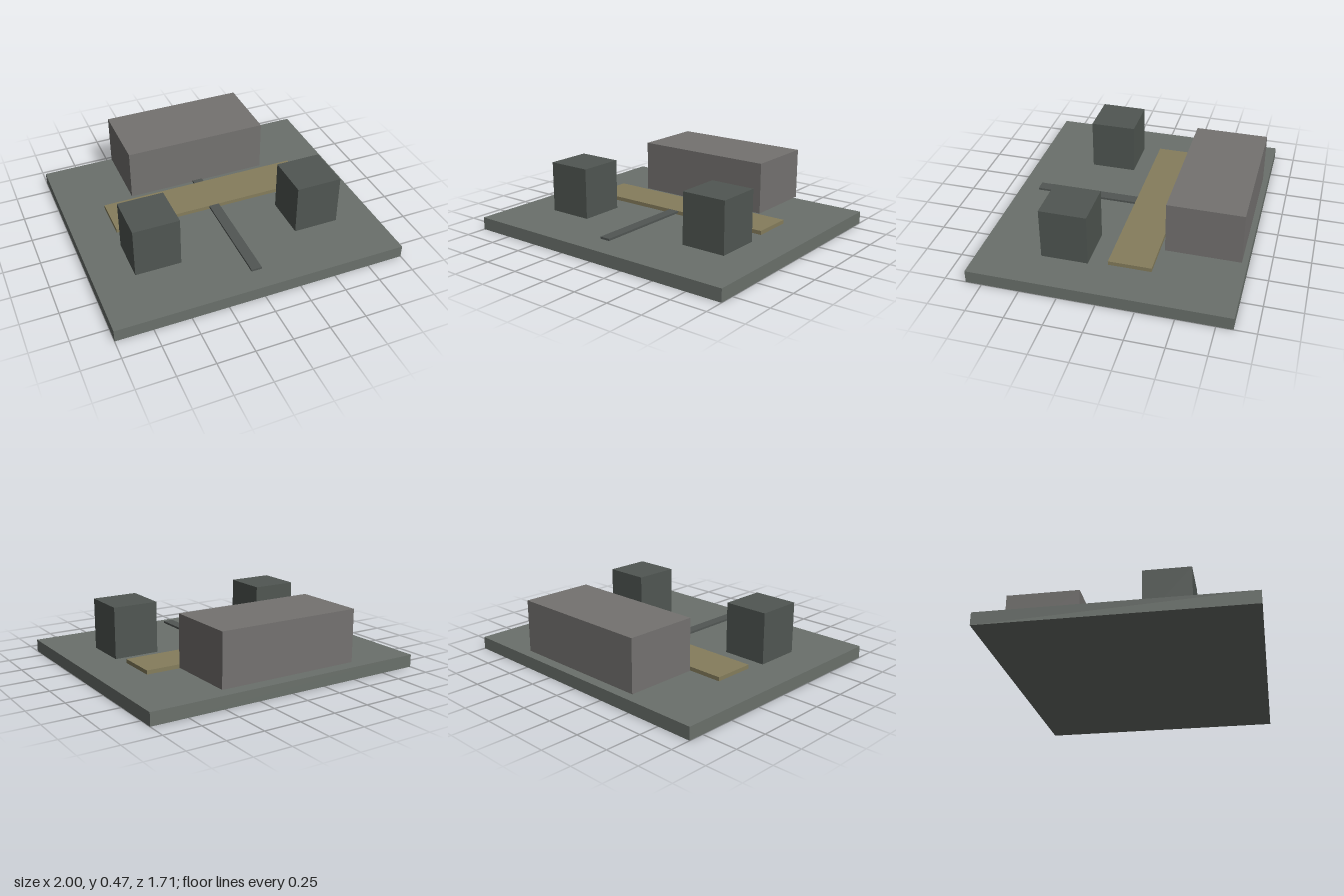
import * as THREE from 'three';

export function createModel() {
  const model = new THREE.Group();

  // Box given by its extents along each axis
  const addBox = (name, color, [x0, x1], [y0, y1], [z0, z1]) => {
    const mesh = new THREE.Mesh(
      new THREE.BoxGeometry(x1 - x0, y1 - y0, z1 - z0),
      new THREE.MeshStandardMaterial({ color })
    );
    mesh.position.set((x0 + x1) / 2, (y0 + y1) / 2, (z0 + z1) / 2);
    mesh.name = name;
    model.add(mesh);
  };

  // Ground slab
  addBox('base', 0x6a706b, [-1, 1], [0, 0.086], [-0.857, 0.857]);

  // Large block at the back, hovering just above the slab
  addBox('mainBlock', 0x747270, [-0.5, 0.5], [0.11, 0.466], [-0.822, -0.322]);

  // Wide cross plate and the thin strip running front to back through it
  addBox('crossPlate', 0x857d5c, [-0.714, 0.714], [0.092, 0.119], [-0.286, 0]);
  addBox('centreStrip', 0x515654, [-0.036, 0.036], [0.104, 0.1185], [-0.714, 0.714]);

  // Pair of towers mirrored about the centre
  for (const [name, side] of [['leftTower', 1], ['rightTower', -1]]) {
    const x = side * 0.571;
    addBox(name, 0x505652, [x - 0.157, x + 0.157], [0.084, 0.438], [0.129, 0.443]);
  }

  return model;
}
